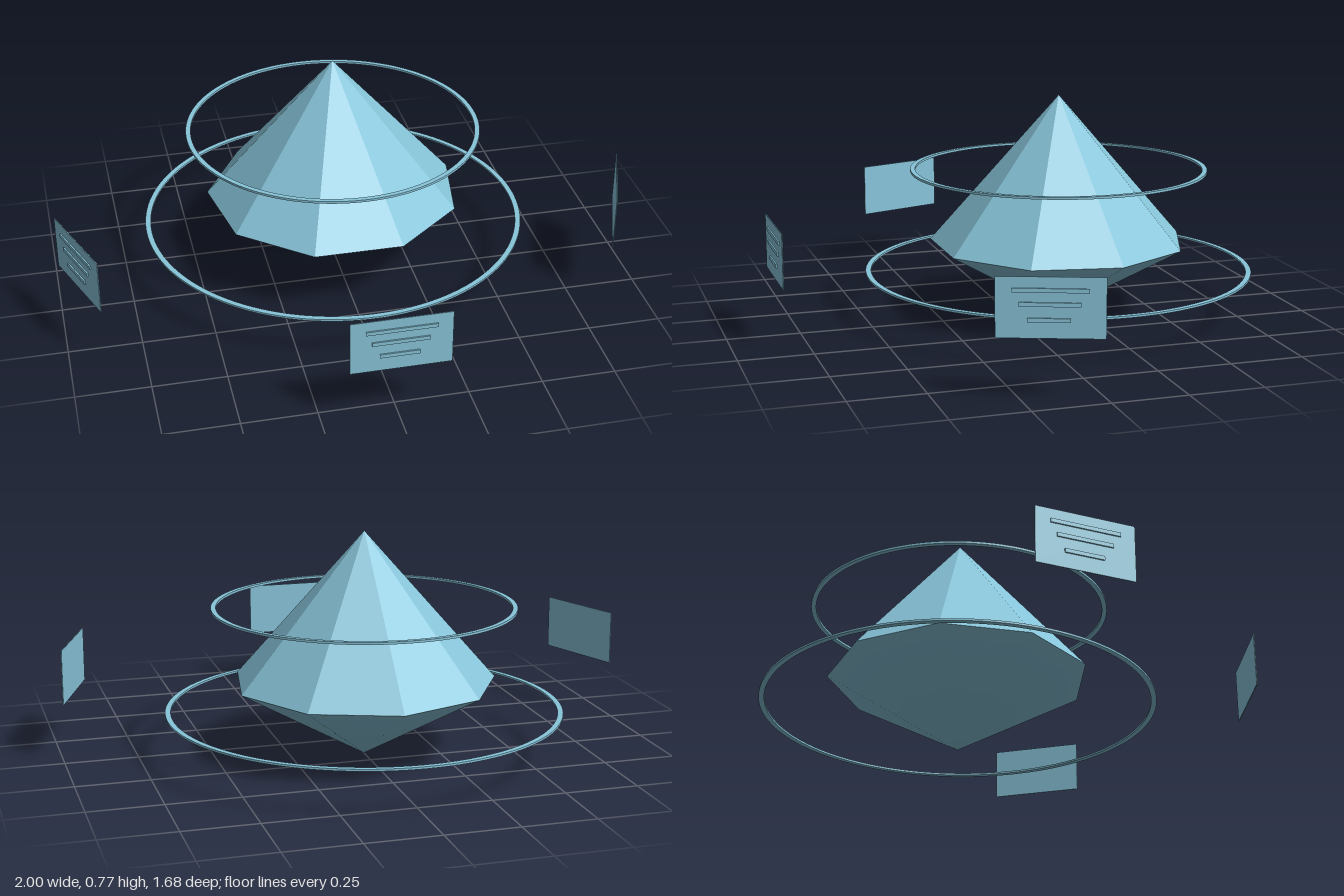
import * as THREE from 'three';
import { mergeVertices } from 'three/addons/utils/BufferGeometryUtils.js';

const SIDES = 9;
const RADIUS = 0.45;

export function createModel() {
  const model = new THREE.Group();
  model.name = 'crystalDisplay';
  const paleBlue = new THREE.MeshStandardMaterial({ color: 0x88c5da });
  paleBlue.name = 'paleBlue';

  // everything is arranged around the crystal's axis
  const hub = new THREE.Group();
  hub.name = 'hub';
  hub.position.z = -0.17;
  model.add(hub);

  const add = (parent, name, geometry, x = 0, y = 0, z = 0) => {
    const mesh = new THREE.Mesh(geometry, paleBlue);
    mesh.name = name;
    mesh.position.set(x, y, z);
    parent.add(mesh);
    return mesh;
  };

  // faceted upper half of the crystal
  const top = new THREE.ConeGeometry(RADIUS, 0.515, SIDES, 1, true).rotateY(Math.PI).toNonIndexed();
  top.computeVertexNormals();
  add(hub, 'crystalTop', top, 0, 0.5205, 0);

  // smooth lower half, with shared corners
  let bottom = new THREE.ConeGeometry(RADIUS, 0.26, SIDES, 1, true).rotateX(Math.PI);
  bottom.deleteAttribute('uv');
  bottom.deleteAttribute('normal');
  bottom = mergeVertices(bottom, 1e-4);
  bottom.computeVertexNormals();
  add(hub, 'crystalBottom', bottom, 0, 0.133, 0);

  // flat floating rings
  const ring = (name, inner, outer, y, thickness) => {
    const shape = new THREE.Shape().absarc(0, 0, outer, 0, Math.PI * 2);
    shape.holes.push(new THREE.Path().absarc(0, 0, inner, 0, Math.PI * 2, true));
    const geometry = new THREE.ExtrudeGeometry(shape, { depth: thickness, bevelEnabled: false, curveSegments: 64 });
    geometry.translate(0, 0, -thickness / 2).rotateX(-Math.PI / 2);
    add(hub, name, geometry, 0, y, 0);
  };
  ring('upperRing', 0.498, 0.515, 0.52, 0.008);
  ring('lowerRing', 0.656, 0.675, 0.165, 0.007);

  // three panels standing around the front, each with raised lines
  const lines = [
    [-0.115, 0.115, 0.348],
    [-0.095, 0.09, 0.305],
    [-0.07, 0.06, 0.257],
  ];
  [['front', 0], ['left', 70], ['right', -70]].forEach(([side, degrees]) => {
    const panel = new THREE.Group();
    panel.name = side + 'Panel';
    panel.rotation.y = THREE.MathUtils.degToRad(degrees);
    add(panel, 'panelBoard', new THREE.BoxGeometry(0.33, 0.188, 0.003), 0, 0.295, 1.0);
    for (const [x0, x1, y] of lines) {
      add(panel, 'panelLine', new THREE.BoxGeometry(x1 - x0, 0.013, 0.005), (x0 + x1) / 2, y, 1.004);
    }
    hub.add(panel);
  });

  return model;
}
